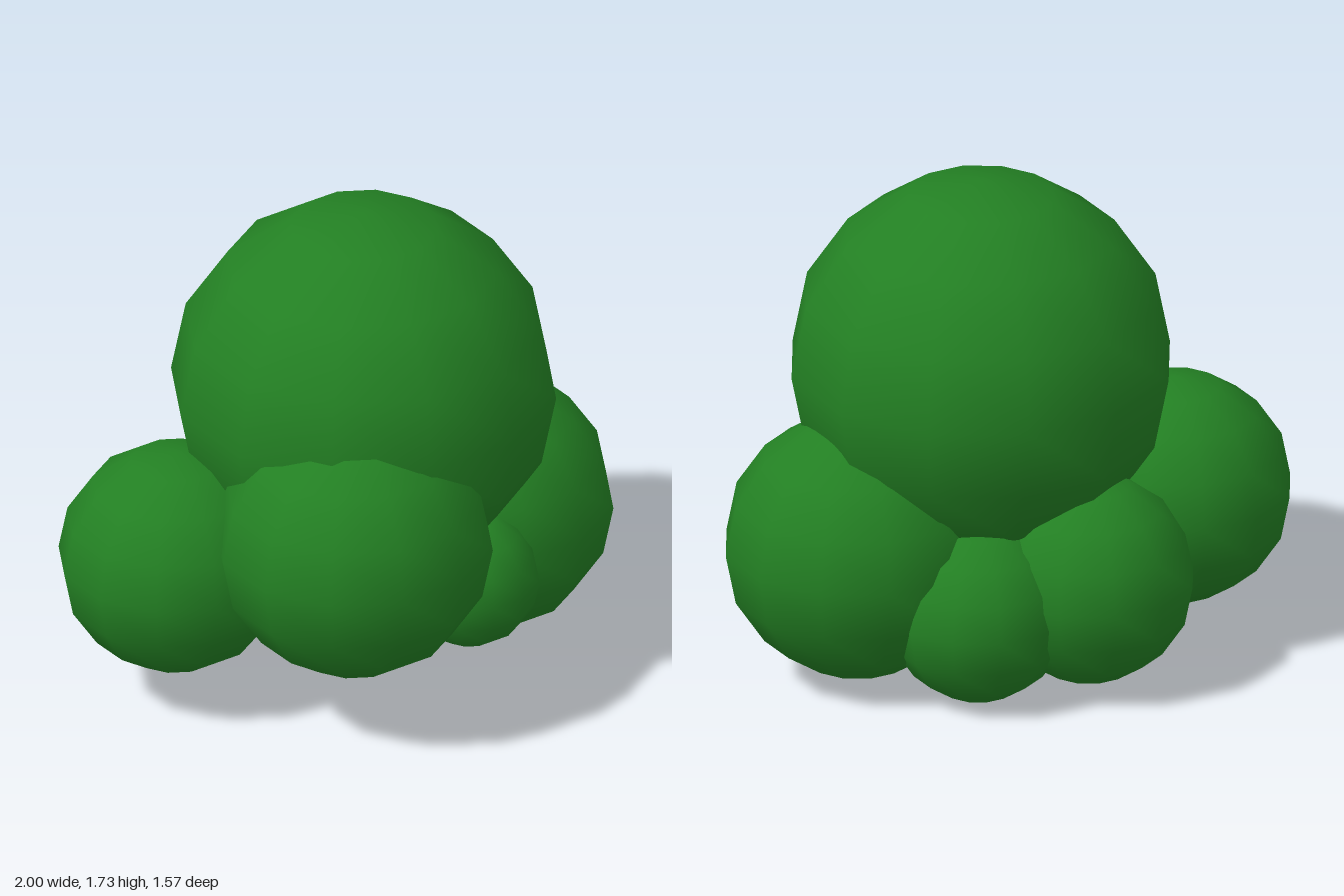
import * as THREE from 'three';

// Leaf clumps: name, radius, centre x, y, z
const CLUMPS = [
  ['crownClump', 0.66, 0.08, 1.075, -0.08],
  ['frontClump', 0.475, -0.1, 0.71, 0.31],
  ['leftClump', 0.46, 0.535, 0.49, -0.18],
  ['rightClump', 0.4, -0.6, 0.54, -0.08],
  ['backRightClump', 0.365, -0.21, 0.39, -0.42],
  ['backLeftClump', 0.318, 0.18, 0.32, -0.44],
  ['smallFrontClump', 0.24, 0.35, 0.43, 0.22],
];

export function createModel() {
  const bush = new THREE.Group();
  bush.name = 'bush';

  const leafGreen = new THREE.MeshStandardMaterial({ color: 0x238023 });
  leafGreen.name = 'leafGreen';

  // Overlapping smooth-shaded spheres with few sides
  for (const [name, radius, x, y, z] of CLUMPS) {
    const clump = new THREE.Mesh(new THREE.SphereGeometry(radius, 12, 8), leafGreen);
    clump.name = name;
    clump.position.set(x, y, z);
    bush.add(clump);
  }
  return bush;
}
